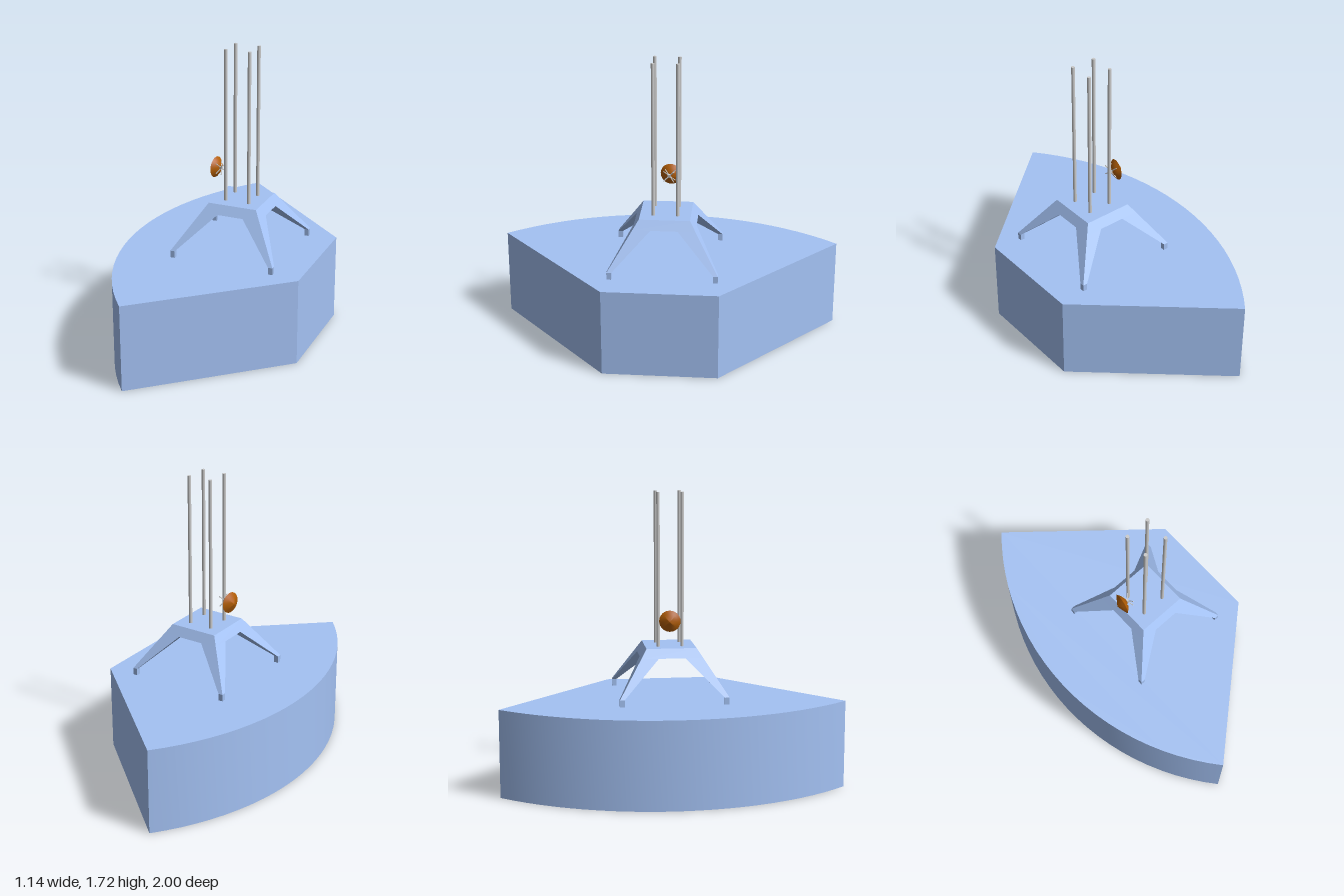
import * as THREE from 'three';
import { toCreasedNormals } from 'three/addons/utils/BufferGeometryUtils.js';

const blue = new THREE.MeshStandardMaterial({ color: 0xa4c2f4 });
const brown = new THREE.MeshStandardMaterial({ color: 0xb45f06 });
const grey = new THREE.MeshStandardMaterial({ color: 0xcccccc });

function add(parent, name, geometry, material) {
  const mesh = new THREE.Mesh(geometry, material);
  mesh.name = name;
  parent.add(mesh);
  return mesh;
}

// Lofts square rings [y, a, b], each spanning a..b in both x and z.
function loftSquares(rings) {
  const positions = [], index = [];
  for (const [y, a, b] of rings) positions.push(a, y, a, b, y, a, b, y, b, a, y, b);
  for (let r = 0; r < rings.length - 1; r++) {
    for (let k = 0; k < 4; k++) {
      const p = r * 4 + k, n = r * 4 + (k + 1) % 4;
      index.push(p, p + 4, n, n, p + 4, n + 4);
    }
  }
  const t = (rings.length - 1) * 4;
  index.push(0, 1, 2, 0, 2, 3, t, t + 2, t + 1, t, t + 3, t + 2);
  const g = new THREE.BufferGeometry();
  g.setAttribute('position', new THREE.Float32BufferAttribute(positions, 3));
  g.setIndex(index);
  const flat = g.toNonIndexed();
  flat.computeVertexNormals();
  return flat;
}

export function createModel() {
  const model = new THREE.Group();
  model.name = 'model';

  // Base block: one curved side, three flat sides
  const outline = new THREE.Shape();
  const half = Math.asin(1 / 1.536);
  outline.absarc(0.966, 0, 1.536, Math.PI - half, Math.PI + half, false);
  outline.lineTo(0.57, -0.33);
  outline.lineTo(0.57, 0.33);
  outline.closePath();
  const block = new THREE.ExtrudeGeometry(outline, { depth: 0.515, bevelEnabled: false, curveSegments: 12 });
  block.rotateX(-Math.PI / 2);
  add(model, 'base', toCreasedNormals(block, 0.5), blue);

  // Four-legged stand
  const stand = new THREE.Group();
  stand.name = 'stand';
  stand.position.x = 0.094;
  model.add(stand);
  add(stand, 'standTop', loftSquares([[0.765, -0.18, 0.18], [0.818, -0.146, 0.146]]), blue);
  const leg = loftSquares([[0.515, 0.288, 0.315], [0.556, 0.288, 0.315], [0.765, 0.078, 0.18]]);
  for (let i = 0; i < 4; i++) add(stand, 'leg', leg, blue).rotation.y = i * Math.PI / 2;

  // Four upright rods
  const rod = new THREE.CylinderGeometry(0.01, 0.01, 0.9, 16);
  for (const x of [-0.071, 0.071]) {
    for (const z of [-0.07, 0.07]) add(stand, 'rod', rod, grey).position.set(x, 1.267, z);
  }

  // Dish: a flattened double cone with its axis along x
  const dish = new THREE.Group();
  dish.name = 'dishAssembly';
  dish.position.set(-0.074, 0.982, -0.013);
  dish.rotation.y = -0.165;
  model.add(dish);
  const profile = [[0, -0.031], [0.012, -0.026], [0.045, -0.009], [0.062, 0], [0.045, 0.014], [0.022, 0.027], [0, 0.03]]
    .map(([r, h]) => new THREE.Vector2(r, h));
  const lens = new THREE.LatheGeometry(profile, 24);
  lens.rotateZ(-Math.PI / 2);
  add(dish, 'dish', toCreasedNormals(lens, 0.6), brown);

  // Crossed struts behind the dish
  const up = new THREE.Vector3(0, 1, 0);
  for (const sy of [-1, 1]) {
    for (const sz of [-1, 1]) {
      const a = new THREE.Vector3(0.018, -0.031 * sy, -0.031 * sz);
      const b = new THREE.Vector3(0.055, 0.031 * sy, 0.031 * sz);
      const d = b.clone().sub(a);
      const strut = add(dish, 'strut', new THREE.CylinderGeometry(0.003, 0.003, d.length(), 6), grey);
      strut.position.copy(a).add(b).multiplyScalar(0.5);
      strut.quaternion.setFromUnitVectors(up, d.normalize());
    }
  }
  add(dish, 'strutHub', new THREE.BoxGeometry(0.012, 0.018, 0.018), grey).position.x = 0.0365;

  return model;
}
